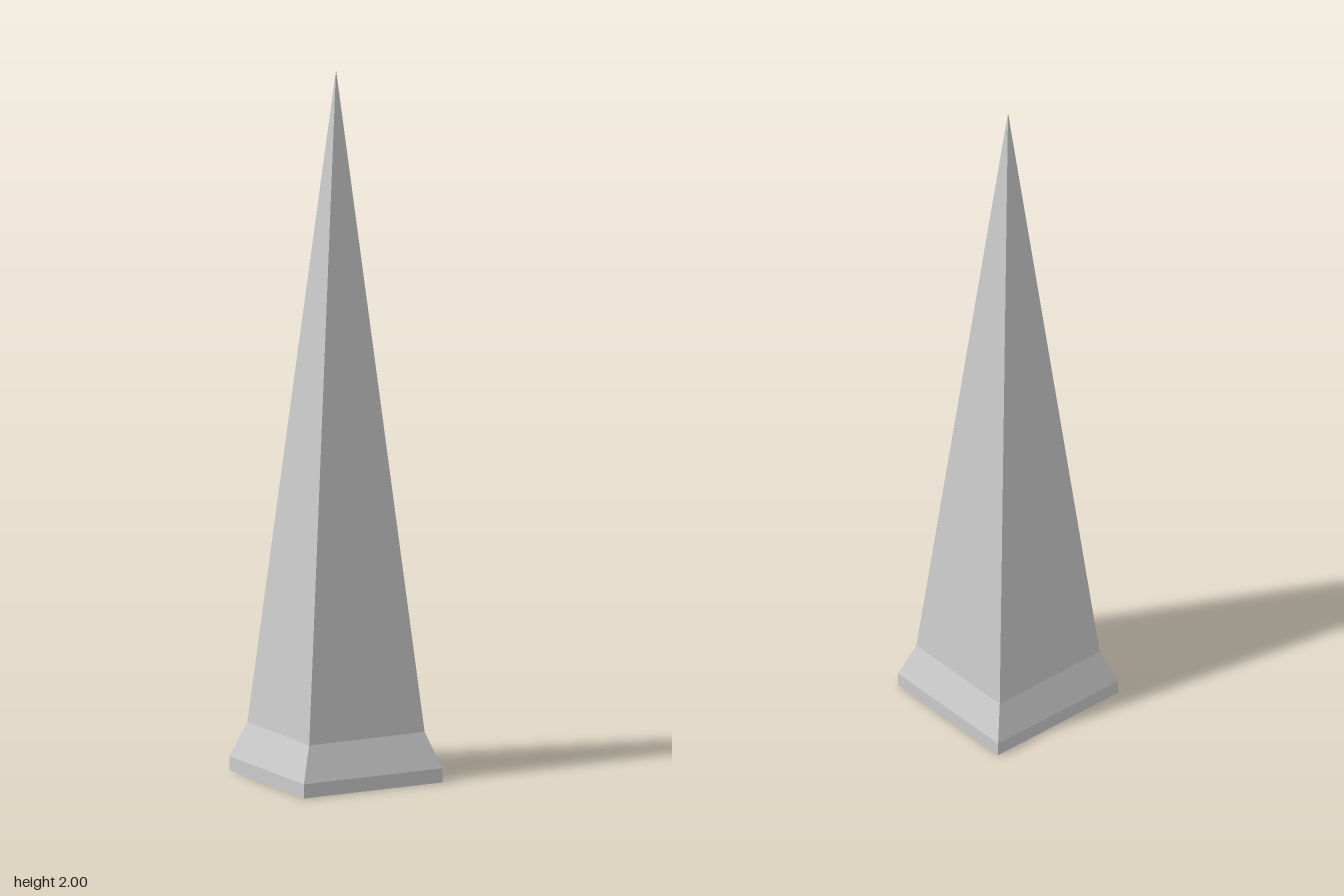
import * as THREE from 'three';

const material = new THREE.MeshStandardMaterial({ color: 0xcccccc, flatShading: true });

// Four-sided tapering section: half sizes at the bottom, taper = top size / bottom size
function section(name, halfX, halfZ, y0, y1, taper) {
  const geometry = new THREE.CylinderGeometry(Math.SQRT2 * taper, Math.SQRT2, y1 - y0, 4, 1, true)
    .rotateY(Math.PI / 4)
    .scale(halfX, 1, halfZ)
    .translate(0, (y0 + y1) / 2, 0)
    .toNonIndexed();
  geometry.computeVertexNormals();
  const mesh = new THREE.Mesh(geometry, material);
  mesh.name = name;
  return mesh;
}

export function createModel() {
  const model = new THREE.Group();
  model.name = 'obelisk';

  const baseX = 0.219, baseZ = 0.212; // half sizes of the foot
  const neck = 0.833; // neck size relative to the foot

  // Upright foot, sloping skirt and the long spire ending in a point
  model.add(
    section('plinth', baseX, baseZ, 0, 0.04, 1),
    section('skirt', baseX, baseZ, 0.04, 0.14, neck),
    section('spire', baseX * neck, baseZ * neck, 0.14, 2, 0)
  );

  // Underside closing the foot
  const underside = new THREE.Mesh(
    new THREE.PlaneGeometry(baseX * 2, baseZ * 2).rotateX(Math.PI / 2),
    material
  );
  underside.name = 'underside';
  model.add(underside);

  return model;
}
